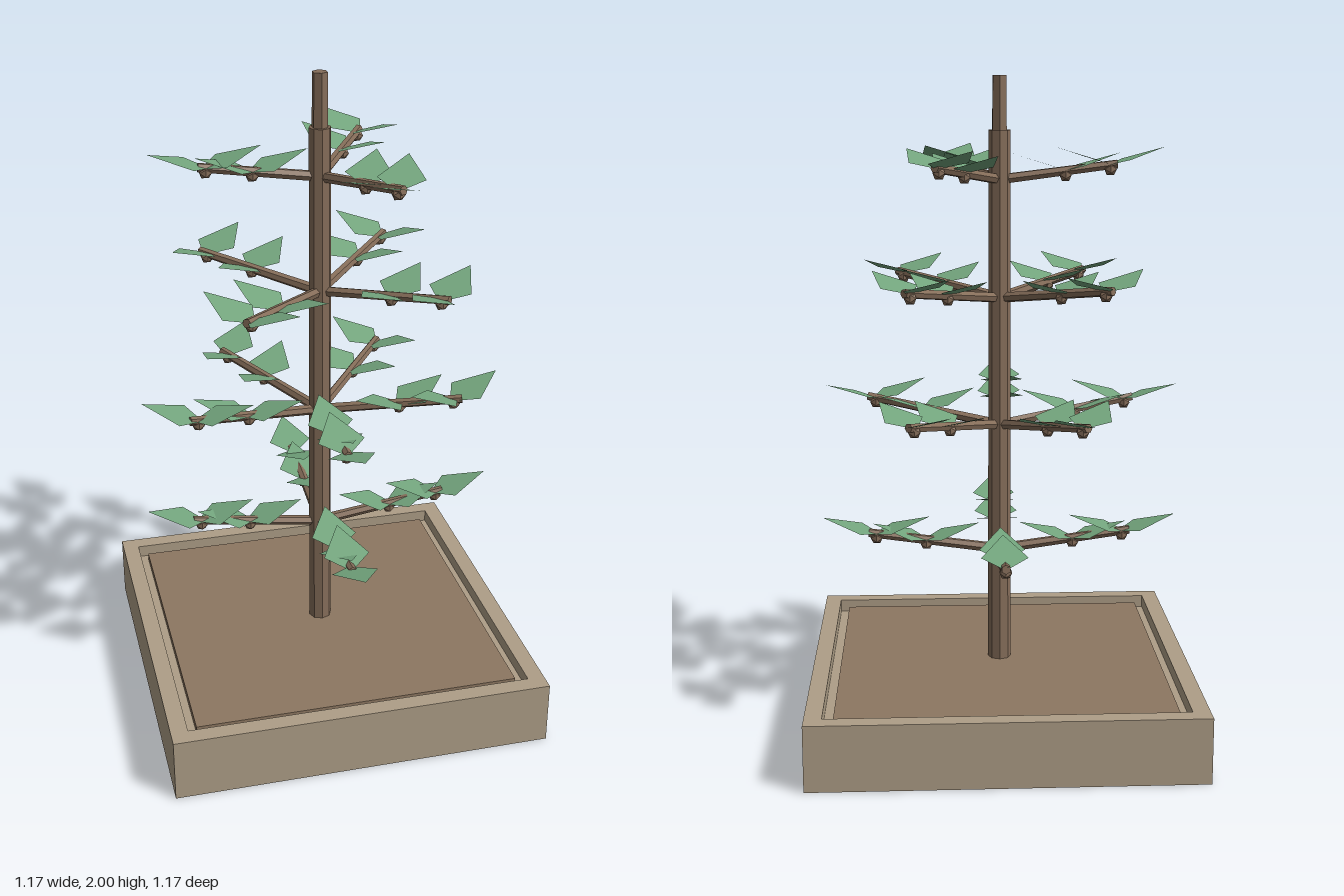
import * as THREE from 'three';

const mat = (name, color) => {
  const m = new THREE.MeshStandardMaterial({ color, flatShading: true });
  m.name = name;
  return m;
};

export function createModel() {
  const stone = mat('planter stone', 0xae9e87);
  const earth = mat('soil brown', 0x8d7761);
  const bark = mat('bark brown', 0x856d59);
  const green = mat('leaf green', 0x74a67e);
  green.side = THREE.DoubleSide;

  const root = new THREE.Group();
  root.name = 'plantedTree';
  const model = new THREE.Group();
  model.name = 'tree';
  model.position.z = -0.005;
  root.add(model);

  const add = (parent, name, geo, material, x = 0, y = 0, z = 0) => {
    const mesh = new THREE.Mesh(geo, material);
    mesh.name = name;
    mesh.position.set(x, y, z);
    parent.add(mesh);
    return mesh;
  };

  // Square planter: walls with a hole, a floor and a raised bed of soil
  const square = (Type, h) => new Type(
    [[-h, -h], [h, -h], [h, h], [-h, h]].map(([x, y]) => new THREE.Vector2(x, y)));
  const wallShape = square(THREE.Shape, 0.584);
  wallShape.holes.push(square(THREE.Path, 0.532));
  const walls = new THREE.ExtrudeGeometry(wallShape, { depth: 0.2, bevelEnabled: false });
  walls.rotateX(-Math.PI / 2);
  add(model, 'planterWalls', walls, stone);
  add(model, 'planterFloor', new THREE.BoxGeometry(1.066, 0.16, 1.066), stone, 0, 0.08, 0);
  add(model, 'soil', new THREE.BoxGeometry(1.004, 0.03, 1.004), earth, 0, 0.17, 0);

  // Trunk in two sections
  add(model, 'trunk', new THREE.CylinderGeometry(0.033, 0.036, 1.66, 8), bark, 0, 1.01, 0);
  add(model, 'trunkTop', new THREE.CylinderGeometry(0.023, 0.025, 0.18, 6), bark, 0, 1.91, 0);

  // Flat kite leaf, pointing along +x
  const leafGeo = new THREE.BufferGeometry();
  leafGeo.setAttribute('position', new THREE.Float32BufferAttribute(
    [-0.015, 0, 0, 0.05, 0, 0.07, 0.175, 0, 0, 0.05, 0, -0.07], 3));
  leafGeo.setIndex([0, 1, 2, 0, 2, 3]);
  leafGeo.computeVertexNormals();
  const budGeo = new THREE.IcosahedronGeometry(0.021, 0);

  // Branch with two nodes, each carrying a bud and an opposed pair of leaves
  const up = new THREE.Vector3(0, 1, 0);
  const addBranch = (angle, baseY, reach, rise) => {
    const branch = new THREE.Group();
    branch.name = 'branch';
    branch.position.y = baseY;
    model.add(branch);
    const end = new THREE.Vector3(reach * Math.cos(angle), rise, reach * Math.sin(angle));
    const limb = add(branch, 'limb',
      new THREE.CylinderGeometry(0.014, 0.016, end.length(), 6), bark);
    limb.position.copy(end).multiplyScalar(0.5);
    limb.quaternion.setFromUnitVectors(up, end.clone().normalize());
    for (const t of [0.56, 0.94]) {
      const p = end.clone().multiplyScalar(t);
      add(branch, 'bud', budGeo, bark, p.x, p.y - 0.012, p.z);
      for (const turn of [0, Math.PI]) {
        const leaf = add(branch, 'leaf', leafGeo, green, p.x, p.y + 0.002, p.z);
        leaf.rotation.set(0, angle + turn, 0.3);
      }
    }
  };

  // Tiers: height, number of branches, reach, rise; each tier turns a little further
  const tiers = [
    [0.54, 4, 0.41, 0.056],
    [0.94, 5, 0.44, 0.062],
    [1.335, 4, 0.425, 0.052],
    [1.693, 3, 0.355, 0.046],
  ];
  tiers.forEach(([y, count, reach, rise], i) => {
    for (let k = 0; k < count; k++) {
      addBranch(i * 0.37 + (k * Math.PI * 2) / count, y, reach, rise);
    }
  });
  return root;
}
